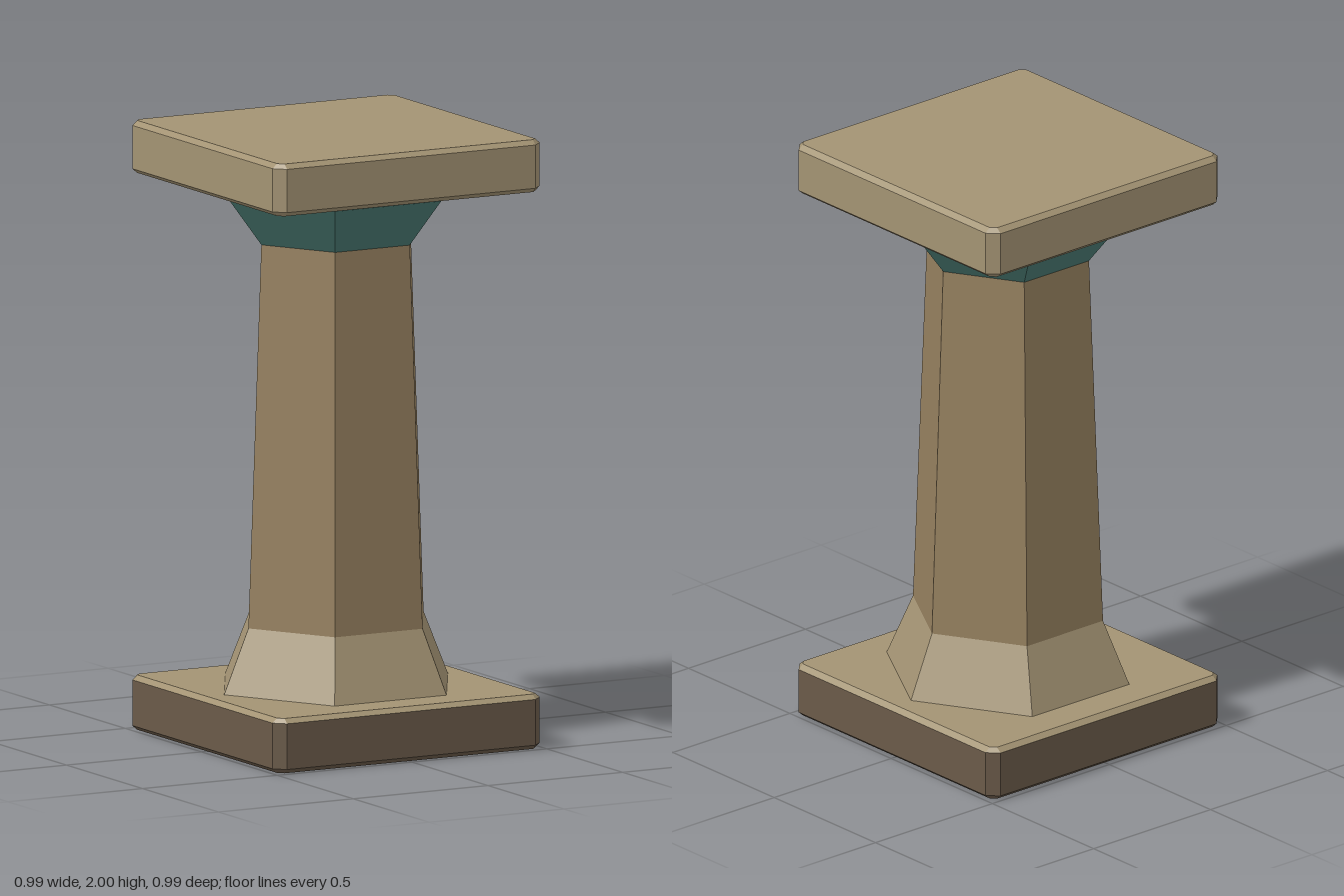
import * as THREE from 'three';

// Flat-shaded solid through horizontal rings, each { y, pts: [[x, z], ...] } going anticlockwise from above.
function loft(name, color, rings, { bottom = false, top = false } = {}) {
  const pos = [];
  const tri = (...corners) => corners.forEach(([r, i]) => {
    const p = rings[r].pts;
    const [x, z] = p[i % p.length];
    pos.push(x, rings[r].y, z);
  });
  const n = rings[0].pts.length, last = rings.length - 1;
  for (let r = 0; r < last; r++) {
    for (let i = 0; i < n; i++) {
      tri([r, i], [r, i + 1], [r + 1, i + 1]);
      tri([r, i], [r + 1, i + 1], [r + 1, i]);
    }
  }
  for (let i = 1; i < n - 1; i++) {
    if (bottom) tri([0, 0], [0, i + 1], [0, i]);
    if (top) tri([last, 0], [last, i], [last, i + 1]);
  }
  const geometry = new THREE.BufferGeometry();
  geometry.setAttribute('position', new THREE.Float32BufferAttribute(pos, 3));
  geometry.computeVertexNormals();
  const mesh = new THREE.Mesh(geometry, new THREE.MeshStandardMaterial({ color, flatShading: true }));
  mesh.name = name;
  return mesh;
}

// Hexagon with corners on the x axis
const hex = (y, r) => ({
  y,
  pts: Array.from({ length: 6 }, (_, i) => {
    const a = (i * Math.PI) / 3;
    return [r * Math.cos(a), -r * Math.sin(a)];
  }),
});

// Square with clipped corners: h = half width, c = where the clip starts
const clippedSquare = (y, h, c = 0.461) => ({
  y,
  pts: [[h, c], [h, -c], [c, -h], [-c, -h], [-h, -c], [-h, c], [-c, h], [c, h]],
});

export function createModel() {
  const sand = 0xa39373, brown = 0x95805f, dark = 0x6a5a49, green = 0x4a7a72;
  const outer = 0.496, inner = 0.478, bevel = 0.015;
  const group = new THREE.Group();
  group.name = 'pedestal';

  group.add(
    // Foot slab: dark body with a lighter bevelled top
    loft('baseBody', dark, [
      clippedSquare(0, inner),
      clippedSquare(bevel, outer),
      clippedSquare(0.18 - bevel, outer),
    ], { bottom: true }),
    loft('baseTop', sand, [
      clippedSquare(0.18 - bevel, outer),
      clippedSquare(0.18, inner),
    ], { top: true }),

    // Six-sided column: flared skirt, tapering shaft, spreading collar
    loft('skirt', sand, [hex(0.18, 0.415), hex(0.39, 0.325)]),
    loft('shaft', brown, [hex(0.39, 0.325), hex(1.645, 0.277)]),
    loft('collar', green, [hex(1.645, 0.277), hex(1.8, 0.395)], { top: true }),

    // Top slab, floating just above the collar
    loft('topSlab', sand, [
      clippedSquare(1.828, inner),
      clippedSquare(1.828 + bevel, outer),
      clippedSquare(2 - bevel, outer),
      clippedSquare(2, inner),
    ], { bottom: true, top: true }),
  );
  return group;
}
